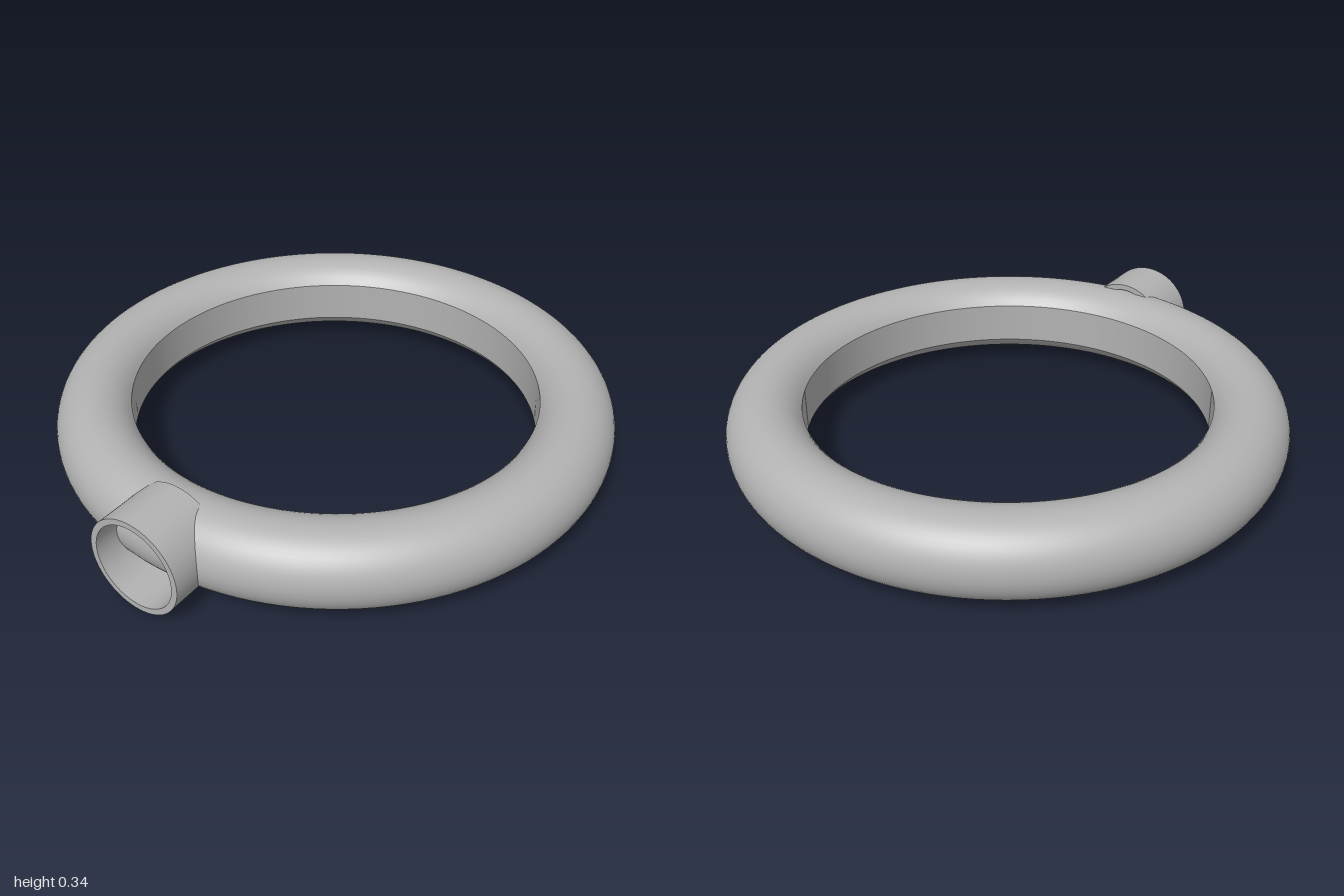
import * as THREE from 'three';

const grey = new THREE.MeshStandardMaterial({ color: 0xb2b2b2 });
grey.name = 'grey';

// Revolved surface; the profile runs upward on outer faces
function lathe(name, points, segments) {
  const profile = points.map(([r, y]) => new THREE.Vector2(r, y));
  const mesh = new THREE.Mesh(new THREE.LatheGeometry(profile, segments), grey);
  mesh.name = name;
  return mesh;
}

export function createModel() {
  const model = new THREE.Group();
  model.name = 'ringWithSocket';

  const centre = new THREE.Vector3(0.035, 0.168, 0);
  const ringRadius = 0.825, tube = 0.14, hole = 0.706;

  // Ring: round tube trimmed flat on the inside by the hole
  const ring = new THREE.Group();
  ring.name = 'ring';
  ring.position.copy(centre);
  const end = Math.acos((hole - ringRadius) / tube);
  const arc = [];
  for (let i = 0; i <= 40; i++) {
    const a = -end + (2 * end * i) / 40;
    arc.push([ringRadius + tube * Math.cos(a), tube * Math.sin(a)]);
  }
  const half = tube * Math.sin(end);
  ring.add(
    lathe('ringBody', arc, 128),
    lathe('ringInnerWall', [[hole, half], [hole, -half]], 128)
  );
  model.add(ring);

  // Socket: short open pipe pointing radially out of the ring
  const socket = new THREE.Group();
  socket.name = 'socket';
  const angle = THREE.MathUtils.degToRad(20);
  const direction = new THREE.Vector3(-Math.cos(angle), 0, Math.sin(angle));
  socket.position.copy(centre);
  socket.quaternion.setFromUnitVectors(new THREE.Vector3(0, 1, 0), direction);
  const outer = 0.168, bore = 0.147, near = 0.832, far = 1.04;
  socket.add(
    lathe('socketOuterWall', [[outer, near], [outer, far]], 64),
    lathe('socketRim', [[outer, far], [bore, far]], 64),
    lathe('socketBore', [[bore, far], [bore, near]], 64),
    lathe('socketInnerRim', [[bore, near], [outer, near]], 64)
  );
  model.add(socket);

  return model;
}
